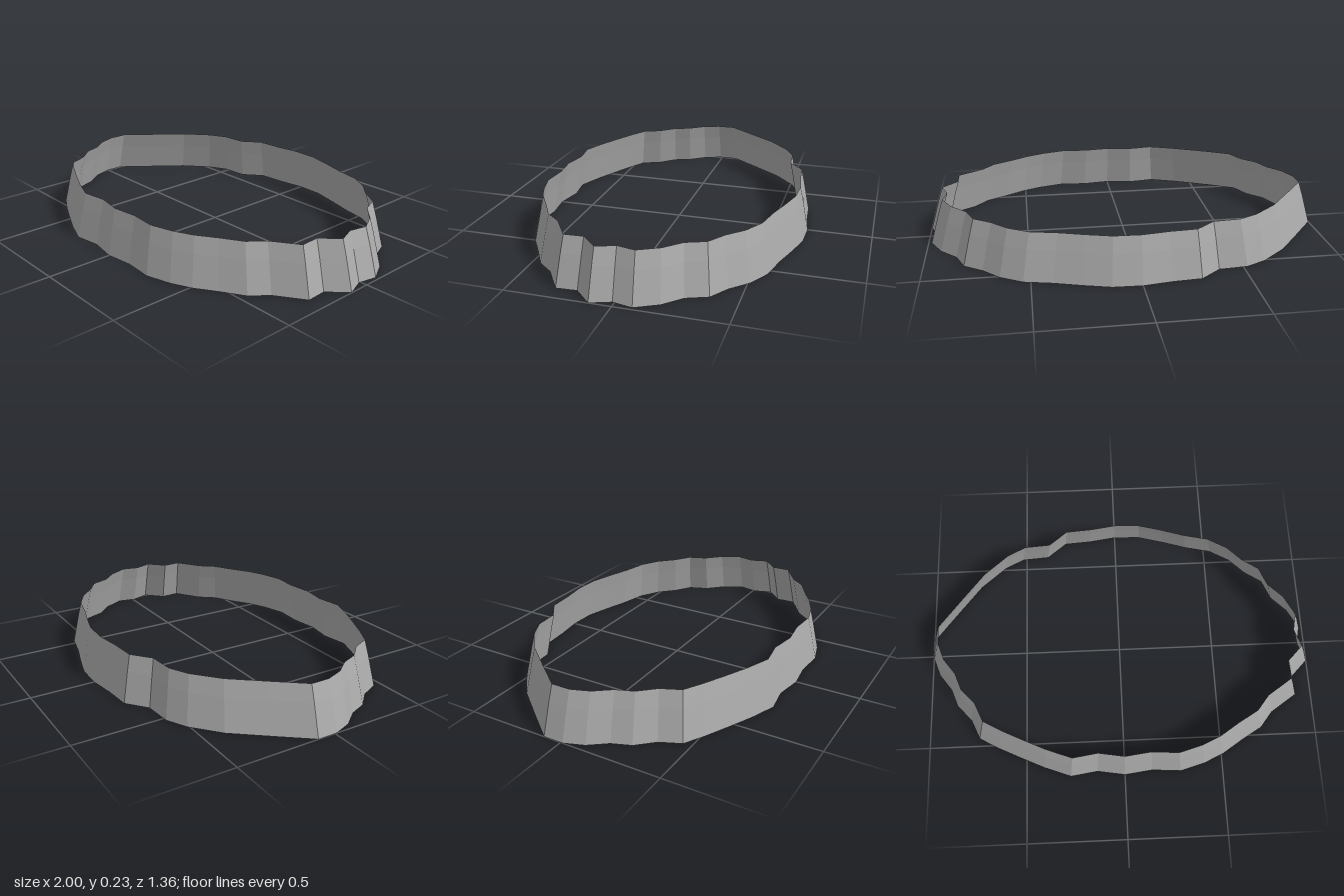
import * as THREE from 'three';

// Uneven oval footprint [x, z], running left, back, right, front
const outline = [
  [-1, -0.09], [-0.88, -0.24], [-0.75, -0.4], [-0.62, -0.51], [-0.52, -0.56],
  [-0.38, -0.57], [-0.28, -0.65], [-0.14, -0.66], [0, -0.68], [0.14, -0.675],
  [0.27, -0.64], [0.4, -0.6], [0.535, -0.57], [0.64, -0.51], [0.72, -0.43],
  [0.81, -0.37], [0.85, -0.27], [0.93, -0.19], [0.985, -0.085], [0.965, 0.01],
  [1, 0.105], [0.915, 0.19], [0.92, 0.29], [0.785, 0.38], [0.72, 0.46],
  [0.61, 0.525], [0.51, 0.59], [0.41, 0.635], [0.285, 0.67], [0.14, 0.66],
  [0, 0.678], [-0.14, 0.655], [-0.275, 0.675], [-0.41, 0.625], [-0.53, 0.57],
  [-0.645, 0.515], [-0.745, 0.46], [-0.79, 0.36], [-0.865, 0.28], [-0.9, 0.19],
  [-0.965, 0.105], [-1, 0.01],
];

// Rows of the band: height and inward scale
const rows = [[0, 1], [0.15, 0.955], [0.23, 0.928]];

export function createModel() {
  const group = new THREE.Group();
  group.name = 'taperedRing';
  const grey = new THREE.MeshStandardMaterial({ color: 0xaaaaaa });
  grey.name = 'grey';
  grey.flatShading = true;
  grey.side = THREE.DoubleSide;

  // Stack scaled copies of the footprint and join them into an open wall
  const positions = [];
  const index = [];
  const n = outline.length;
  for (const [y, s] of rows) {
    for (const [x, z] of outline) positions.push(x * s, y, z * s);
  }
  for (let r = 0; r < rows.length - 1; r++) {
    for (let i = 0; i < n; i++) {
      const a = r * n + i;
      const b = r * n + (i + 1) % n;
      index.push(a, a + n, b, b, a + n, b + n);
    }
  }
  const geometry = new THREE.BufferGeometry();
  geometry.setAttribute('position', new THREE.Float32BufferAttribute(positions, 3));
  geometry.setIndex(index);
  geometry.computeVertexNormals();

  const wall = new THREE.Mesh(geometry, grey);
  wall.name = 'ringWall';
  group.add(wall);
  return group;
}
